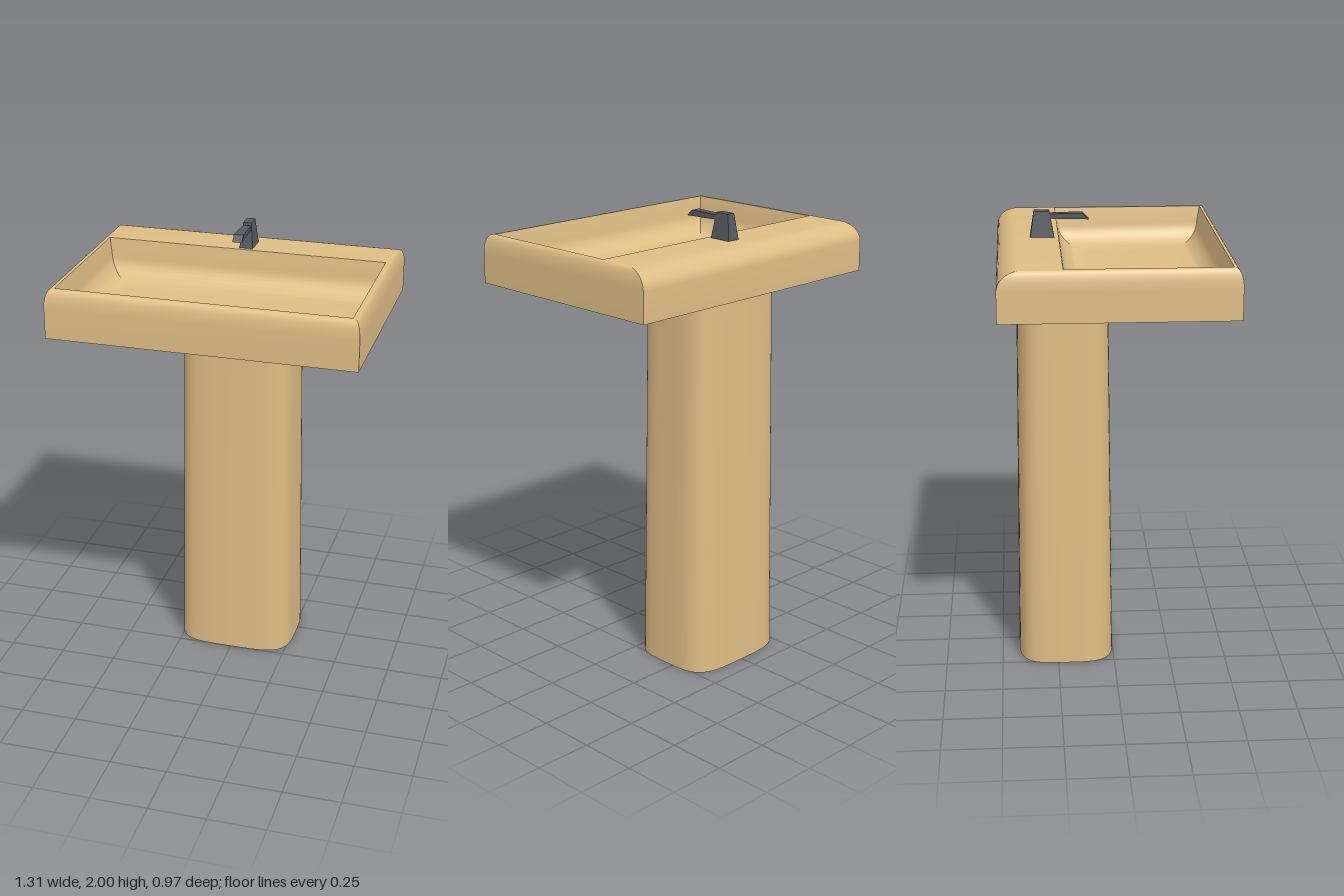
import * as THREE from 'three';
import { toCreasedNormals } from 'three/addons/utils/BufferGeometryUtils.js';

const ceramic = new THREE.MeshStandardMaterial({ color: 0xdebd85 });
const metal = new THREE.MeshStandardMaterial({ color: 0x55595f });

// Skin a stack of rings (each front-left first, counter-clockwise from above), capped at both ends
function loft(rings, crease) {
  const n = rings[0].length, index = [];
  rings.slice(1).forEach((_, i) => {
    for (let j = 0; j < n; j++) {
      const a = i * n + j, b = i * n + (j + 1) % n;
      index.push(a, b, b + n, a, b + n, a + n);
    }
  });
  const top = (rings.length - 1) * n;
  for (let j = 1; j < n - 1; j++) {
    index.push(0, j + 1, j, top, top + j, top + j + 1);
  }
  const geo = new THREE.BufferGeometry();
  geo.setAttribute('position', new THREE.Float32BufferAttribute(rings.flat(2), 3));
  geo.setIndex(index);
  return toCreasedNormals(geo, crease);
}

// Rectangular ring: half width, front z, back z, height
const rect = (w, f, b, y) => [[-w, y, f], [w, y, f], [w, y, b], [-w, y, b]];

// Rounded ring for the pedestal
function squircle(a, b, y, zc, n = 64) {
  const pow = (v) => Math.sign(v) * Math.sqrt(Math.abs(v));
  return Array.from({ length: n }, (_, i) => {
    const t = (i / n) * Math.PI * 2;
    return [a * pow(Math.sin(t)), y, zc + b * pow(Math.cos(t))];
  });
}

function add(group, name, geometry, material) {
  const mesh = new THREE.Mesh(geometry, material);
  mesh.name = name;
  group.add(mesh);
  return mesh;
}

function basinGeometry() {
  const rings = [rect(0.655, 0.485, -0.488, 1.68)];
  const steps = 10;
  // Rounded outer rim: broad at the back, tight at the front and sides
  for (let i = 0; i <= steps; i++) {
    const t = (i / steps) * Math.PI / 2;
    const inset = 1 - Math.cos(t);
    rings.push(rect(0.655 - 0.025 * inset, 0.485 - 0.03 * inset,
      -0.488 + 0.1 * inset, 1.81 + 0.08 * Math.sin(t)));
  }
  // Bowl: steep wall, then a soft curve into the floor
  const bowl = (inset, y) => rect(0.618 - inset, 0.449 - inset, -0.224 + inset, y);
  rings.push(bowl(0, 1.89));
  for (let i = 0; i <= steps; i++) {
    const t = (i / steps) * Math.PI / 2;
    rings.push(bowl(0.012 + 0.12 * (1 - Math.cos(t)), 1.82 - 0.105 * Math.sin(t)));
  }
  rings.push(rect(0.025, 0.14, 0.09, 1.702));
  return loft(rings, 0.6);
}

export function createModel() {
  const model = new THREE.Group();
  model.name = 'pedestalSink';

  add(model, 'pedestal', loft([
    squircle(0.265, 0.212, 0, -0.212),
    squircle(0.245, 0.196, 1.68, -0.212),
  ], 0.6), ceramic);

  add(model, 'basin', basinGeometry(), ceramic);

  const drain = add(model, 'drain', new THREE.BoxGeometry(0.05, 0.008, 0.05), ceramic);
  drain.position.set(0, 1.703, 0.115);

  // Tap: tapered body with a flat spout
  const tap = new THREE.Group();
  tap.name = 'tap';
  add(tap, 'tapBody', loft([
    rect(0.03, -0.242, -0.345, 1.888),
    rect(0.018, -0.262, -0.328, 2.0),
  ], 0.3), metal);

  // Spout cross-sections run from the body out to the slanted tip
  const section = (w, z, bottom, top, slant) =>
    [[-w, bottom, z + slant], [w, bottom, z + slant], [w, top, z], [-w, top, z]];
  add(tap, 'tapSpout', loft([
    section(0.016, -0.28, 1.968, 1.988, 0),
    section(0.021, -0.122, 1.964, 1.99, 0.027),
  ], 0.3), metal);
  model.add(tap);

  return model;
}
